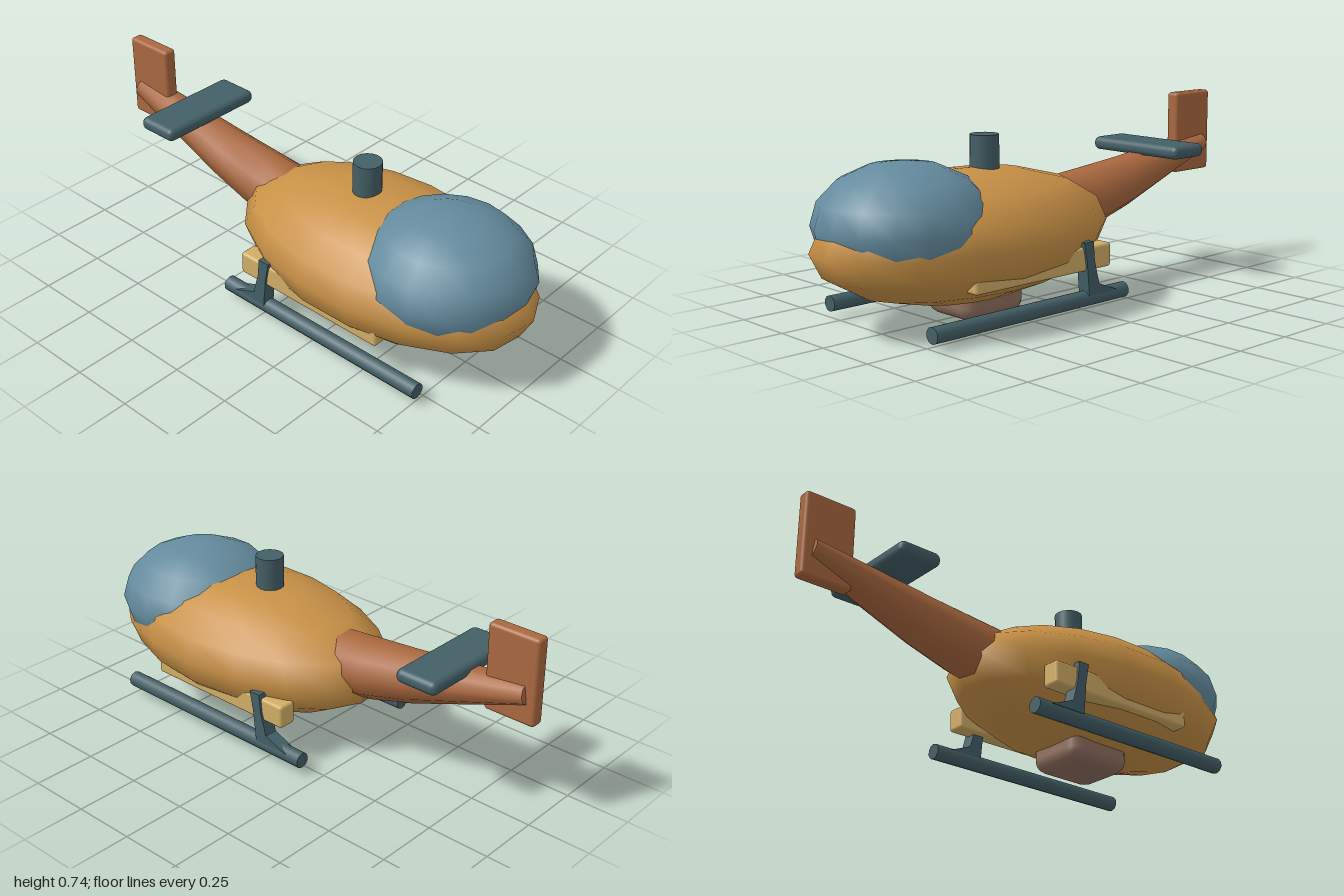
import * as THREE from 'three';
import { RoundedBoxGeometry } from 'three/addons/geometries/RoundedBoxGeometry.js';

function paint(name, color) {
  const m = new THREE.MeshStandardMaterial({ color });
  m.name = name;
  return m;
}

// Closed loft through circular rings [y, z, radiusX, radiusY] running towards -z
function loft(rings, sides) {
  const pos = [], index = [];
  for (const [y, z, rx, ry] of rings)
    for (let i = 0; i < sides; i++) {
      const a = (i / sides) * Math.PI * 2;
      pos.push(Math.cos(a) * rx, y + Math.sin(a) * ry, z + Math.sin(a) * ry * 0.15);
    }
  for (let r = 0; r < rings.length - 1; r++)
    for (let i = 0; i < sides; i++) {
      const a = r * sides + i, b = r * sides + (i + 1) % sides;
      index.push(a, a + sides, b, b, a + sides, b + sides);
    }
  // Tip cap with its own vertices for a sharp edge
  const last = (rings.length - 1) * sides, cap = pos.length / 3;
  pos.push(...pos.slice(last * 3, (last + sides) * 3));
  for (let i = 1; i < sides - 1; i++) index.push(cap, cap + i + 1, cap + i);
  const g = new THREE.BufferGeometry();
  g.setAttribute('position', new THREE.Float32BufferAttribute(pos, 3));
  g.setIndex(index);
  g.computeVertexNormals();
  return g;
}

export function createModel() {
  const amber = paint('amber hull', 0xc89146);
  const glass = paint('blue canopy', 0x648b9e);
  const slate = paint('dark slate', 0x435f66);
  const rust = paint('rust tail', 0xa9683f);
  const sand = paint('sand trim', 0xd2ae66);
  const brown = paint('brown pod', 0x8f6f5e);

  const model = new THREE.Group();
  model.name = 'helicopter';
  const add = (name, geometry, material, x, y, z) => {
    const mesh = new THREE.Mesh(geometry, material);
    mesh.name = name;
    mesh.position.set(x - 0.003, y, z);
    model.add(mesh);
    return mesh;
  };
  const ellipsoid = (rx, ry, rz) =>
    new THREE.SphereGeometry(1, 17, 8).rotateY(Math.PI).scale(rx, ry, rz);

  // Hull and canopy
  add('fuselage', ellipsoid(0.368, 0.243, 0.648), amber, 0, 0.307, 0.355);
  add('canopy', ellipsoid(0.323, 0.225, 0.332), glass, 0, 0.384, 0.642);

  // Mast and belly pod
  add('rotorMast', new THREE.CylinderGeometry(0.055, 0.055, 0.2, 16), slate, 0, 0.566, 0.26);
  add('bellyPod', new RoundedBoxGeometry(0.255, 0.15, 0.29, 2, 0.05), brown, 0, 0.075, 0.31);

  // Tail
  add('tailBoom', loft([
    [0.33, 0, 0.13, 0.125],
    [0.366, -0.28, 0.117, 0.117],
    [0.403, -0.47, 0.102, 0.1],
    [0.522, -0.96, 0.053, 0.043],
  ], 10), rust, 0, 0, 0);
  add('tailFin', new RoundedBoxGeometry(0.055, 0.337, 0.21, 3, 0.014), rust, 0, 0.574, -0.895);
  add('stabilizer', new RoundedBoxGeometry(0.46, 0.054, 0.177, 3, 0.024), slate, 0, 0.531, -0.641);

  // Strut outline in (z, y), with a foot sweeping back along the skid
  const strutShape = new THREE.Shape([
    [0.06, 0.275], [0.045, 0.2], [0.032, 0.07], [-0.12, 0.07],
    [-0.02, 0.11], [0.005, 0.2], [0.012, 0.275],
  ].map(([z, y]) => new THREE.Vector2(z, y)));
  const strut = new THREE.ExtrudeGeometry(strutShape, { depth: 0.054, bevelEnabled: false })
    .translate(0, 0, -0.027).rotateY(-Math.PI / 2);
  const skid = new THREE.CylinderGeometry(0.031, 0.031, 0.94, 10).rotateX(Math.PI / 2);
  const sponson = new RoundedBoxGeometry(0.075, 0.092, 0.67, 2, 0.012);

  // Landing gear and side trim, mirrored
  for (const [side, s] of [['left', 1], ['right', -1]]) {
    add(side + 'Skid', skid, slate, s * 0.295, 0.056, 0.29);
    add(side + 'Strut', strut, slate, s * 0.297, 0, 0);
    add(side + 'Sponson', sponson, sand, s * 0.278, 0.21, 0.243);
  }
  return model;
}
